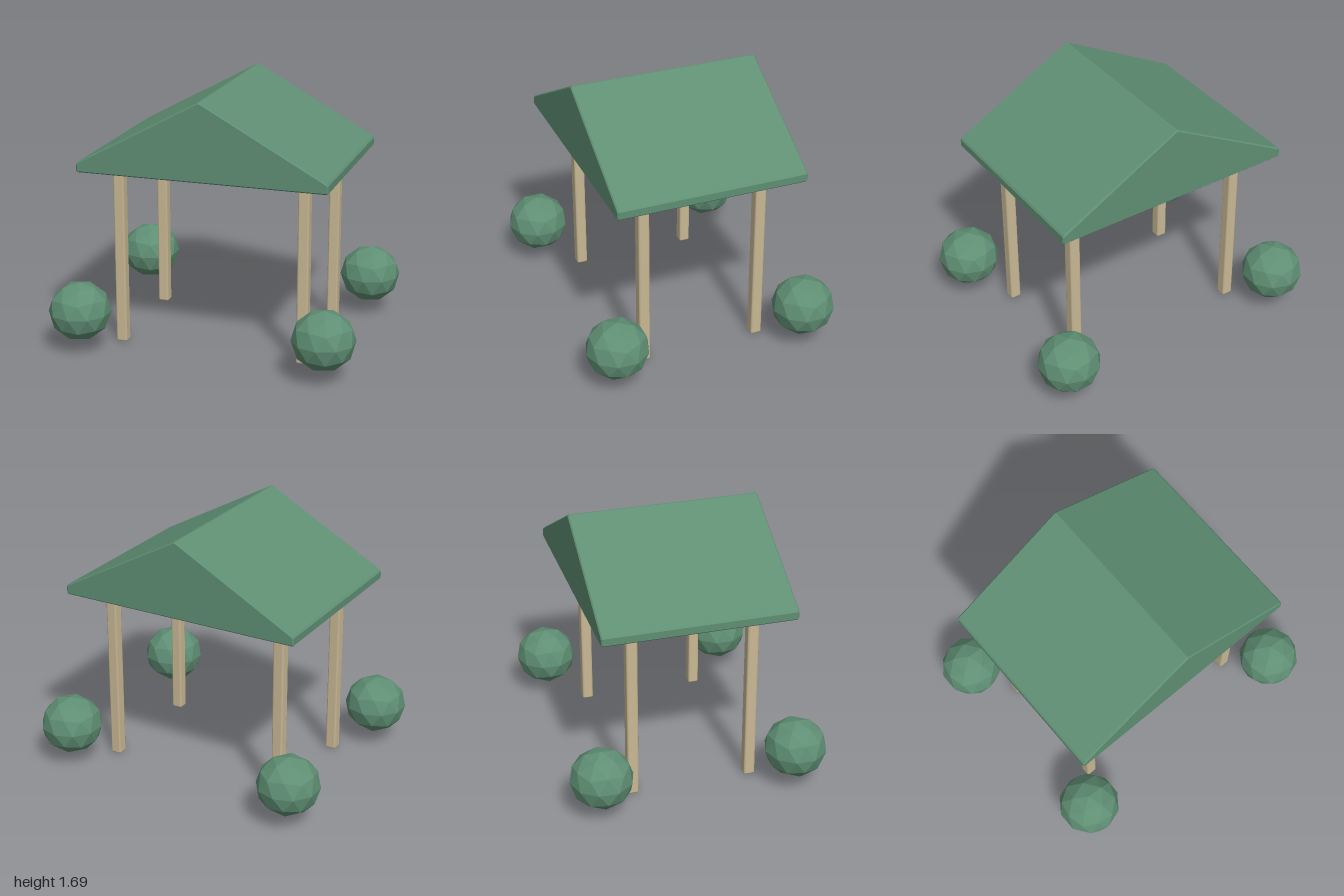
import * as THREE from 'three';
import { RoundedBoxGeometry } from 'three/addons/geometries/RoundedBoxGeometry.js';

const green = new THREE.MeshStandardMaterial({ color: 0x5f8f74 });
green.name = 'leaf green';
const wood = new THREE.MeshStandardMaterial({ color: 0xc8b894 });
wood.name = 'pale wood';

// Gabled solid with slightly bevelled edges
function roofGeometry() {
  const half = [[0.006, 1.693], [0.803, 1.256], [0.813, 1.244], [0.813, 1.198], [0.805, 1.19]];
  const mirrored = half.map(([x, y]) => [-x, y]).reverse();
  const shape = new THREE.Shape([...half, ...mirrored].map(([x, y]) => new THREE.Vector2(x, y)));
  const bevel = 0.008, halfDepth = 0.62;
  const geo = new THREE.ExtrudeGeometry(shape, {
    depth: 2 * (halfDepth - bevel), bevelEnabled: true, bevelSegments: 1,
    bevelSize: bevel, bevelThickness: bevel, bevelOffset: -bevel,
  });
  return geo.translate(0, 0, bevel - halfDepth);
}

// Faceted ball standing on one of its points, a little flattened
function bushGeometry() {
  const geo = new THREE.IcosahedronGeometry(0.2025, 1);
  geo.rotateX(-Math.atan((1 + Math.sqrt(5)) / 2));
  geo.rotateY(Math.PI / 2);
  geo.scale(1, 0.95, 1);
  geo.computeVertexNormals();
  return geo;
}

export function createModel() {
  const model = new THREE.Group();
  model.name = 'pavilion';
  const add = (name, geo, mat, x = 0, y = 0, z = 0) => {
    const mesh = new THREE.Mesh(geo, mat);
    mesh.name = name;
    mesh.position.set(x, y, z);
    model.add(mesh);
  };

  add('roof', roofGeometry(), green);

  // Four posts and a bush outside each corner
  const post = new RoundedBoxGeometry(0.074, 1.2, 0.074, 1, 0.013);
  const bush = bushGeometry();
  for (const [side, sx] of [['left', 1], ['right', -1]]) {
    for (const [end, sz] of [['Front', 1], ['Back', -1]]) {
      add(`${side}${end}Post`, post, wood, sx * 0.611, 0.6, sz * 0.39);
      add(`${side}${end}Bush`, bush, green, sx * 0.807, 0.2725, sz * 0.636);
    }
  }
  return model;
}
